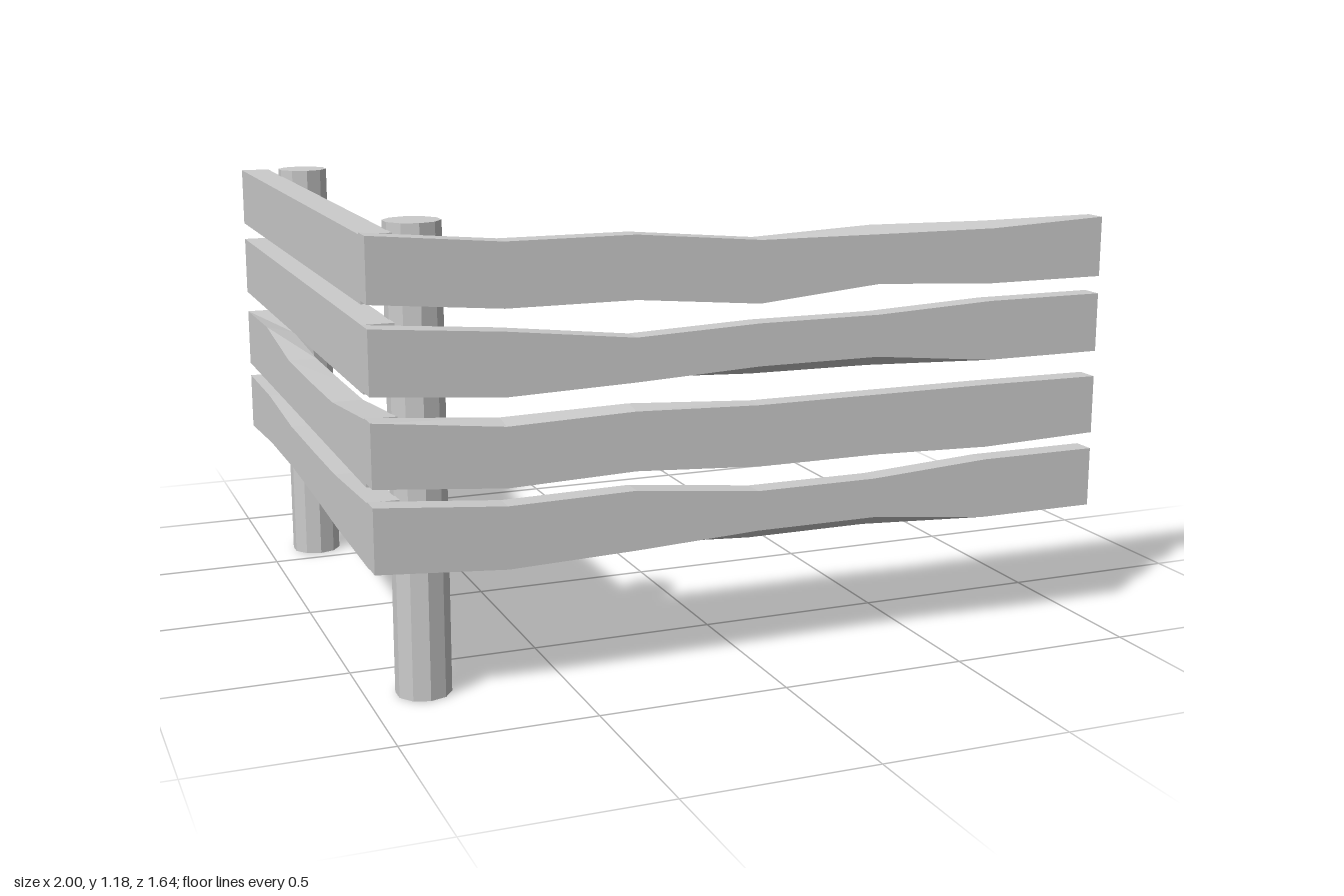
import * as THREE from 'three';

const material = new THREE.MeshStandardMaterial({ color: 0xcccccc, flatShading: true });

// Warped board along x; top and bottom heights are given per station.
// The optional back heights let the board twist slightly.
function plank(name, xs, zBack, zFront, { top, bottom, backTop = top, backBottom = bottom }) {
  const pos = [];
  const quad = (a, b, c, d) => [a, b, c, a, c, d].forEach(p => pos.push(...p));
  const ring = i => [
    [xs[i], bottom[i], zFront], [xs[i], top[i], zFront],
    [xs[i], backTop[i], zBack], [xs[i], backBottom[i], zBack],
  ];
  const last = xs.length - 1;
  for (let i = 0; i < last; i++) {
    const a = ring(i), b = ring(i + 1);
    for (let k = 0; k < 4; k++) {
      const n = (k + 1) % 4;
      quad(a[k], b[k], b[n], a[n]);
    }
  }
  const s = ring(0), e = ring(last);
  quad(s[0], s[1], s[2], s[3]);
  quad(e[3], e[2], e[1], e[0]);
  const geo = new THREE.BufferGeometry();
  geo.setAttribute('position', new THREE.Float32BufferAttribute(pos, 3));
  geo.computeVertexNormals();
  const mesh = new THREE.Mesh(geo, material);
  mesh.name = name;
  return mesh;
}

const frontXs = [-1, -0.667, -0.333, 0, 0.333, 0.667, 1];
const frontPlanks = [
  { top: [0.525, 0.495, 0.5, 0.465, 0.465, 0.485, 0.485],
    bottom: [0.36, 0.335, 0.345, 0.36, 0.36, 0.325, 0.325],
    backBottom: [0.36, 0.335, 0.345, 0.325, 0.325, 0.325, 0.325] },
  { top: [0.73, 0.693, 0.702, 0.69, 0.69, 0.69, 0.687],
    backTop: [0.73, 0.703, 0.71, 0.69, 0.69, 0.69, 0.687],
    bottom: [0.57, 0.54, 0.55, 0.53, 0.53, 0.52, 0.53] },
  { top: [0.953, 0.925, 0.887, 0.9, 0.9, 0.915, 0.915],
    bottom: [0.793, 0.765, 0.775, 0.79, 0.79, 0.757, 0.757],
    backBottom: [0.793, 0.765, 0.775, 0.76, 0.757, 0.757, 0.757] },
  { top: [1.17, 1.14, 1.14, 1.11, 1.108, 1.107, 1.122],
    backTop: [1.17, 1.14, 1.14, 1.11, 1.125, 1.12, 1.122],
    bottom: [1.01, 0.98, 0.98, 0.95, 0.98, 0.962, 0.962] },
];

// Stations run from the far end to the corner
const sideXs = [-0.82, -0.5, -0.17, 0.15, 0.4, 0.76];
const flat = y => sideXs.map(() => y);
const sidePlanks = [
  { top: [0.52, 0.52, 0.5, 0.5, 0.502, 0.522],
    bottom: [0.357, 0.376, 0.38, 0.372, 0.362, 0.357] },
  { top: [0.725, 0.73, 0.692, 0.69, 0.692, 0.727],
    backTop: [0.725, 0.708, 0.69, 0.69, 0.692, 0.727],
    bottom: flat(0.56) },
  { top: flat(0.953), bottom: flat(0.787) },
  { top: flat(1.166), bottom: flat(1.002) },
];

export function createModel() {
  const model = new THREE.Group();
  model.name = 'cornerFence';

  // Front run of boards
  const front = new THREE.Group();
  front.name = 'frontPlanks';
  frontPlanks.forEach((p, i) => front.add(plank(`frontPlank${i + 1}`, frontXs, 0.76, 0.82, p)));
  model.add(front);

  // Side run, turned so that its outer face looks toward -x
  const side = new THREE.Group();
  side.name = 'sidePlanks';
  side.rotation.y = -Math.PI / 2;
  sidePlanks.forEach((p, i) => side.add(plank(`sidePlank${i + 1}`, sideXs, 0.92, 1, p)));
  model.add(side);

  // Ten-sided posts inside the corner and near the far end
  const postGeo = new THREE.CylinderGeometry(0.071, 0.071, 1.185, 10);
  [['cornerPost', 0.69], ['endPost', -0.61]].forEach(([name, z]) => {
    const post = new THREE.Mesh(postGeo, material);
    post.name = name;
    post.position.set(-0.855, 1.185 / 2, z);
    model.add(post);
  });
  return model;
}
